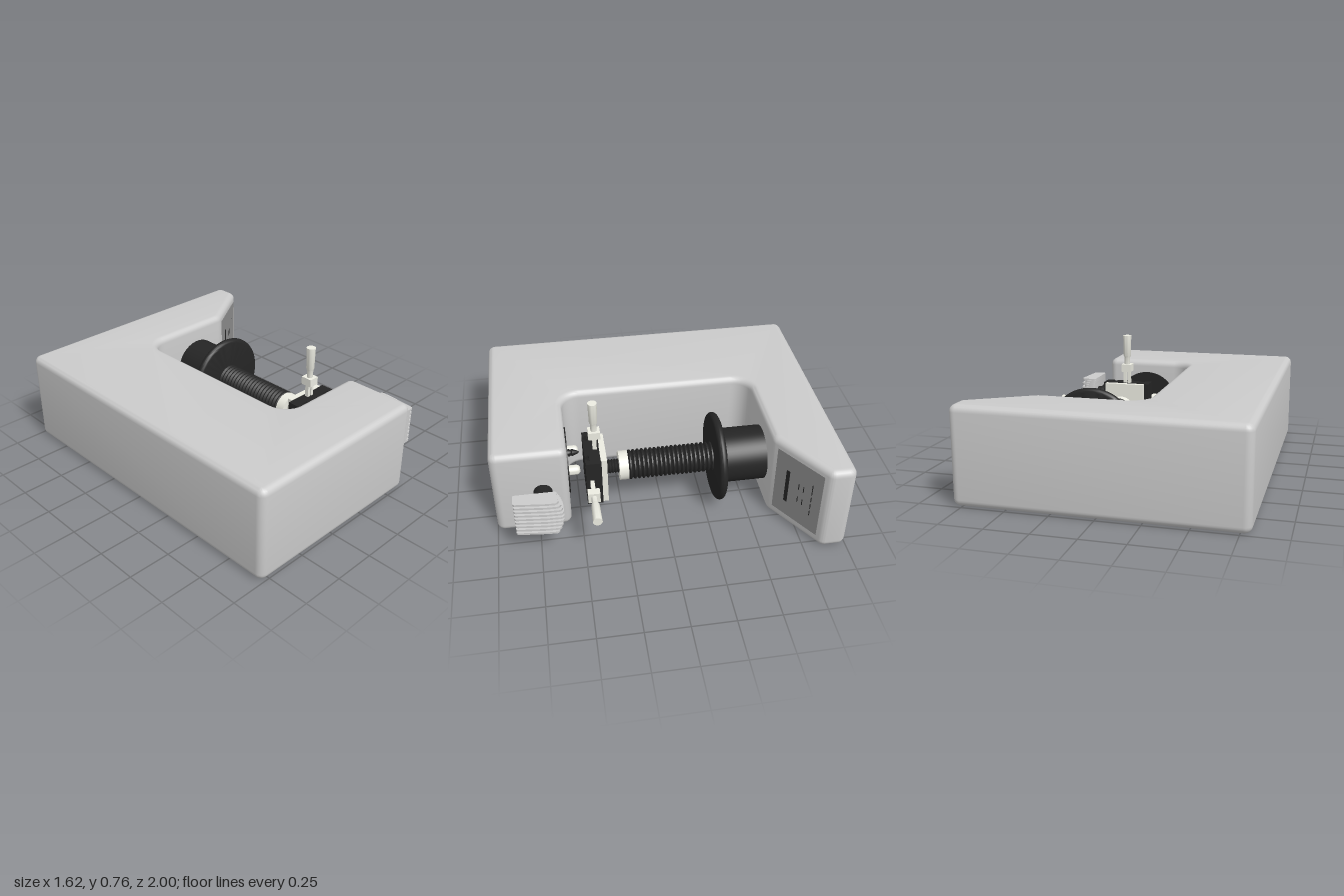
import * as THREE from 'three';
import { toCreasedNormals } from 'three/addons/utils/BufferGeometryUtils.js';

const mat = (color) => new THREE.MeshStandardMaterial({ color });
const GREY = mat(0xcccccc), BLACK = mat(0x252525), STEEL = mat(0xecece2), PANEL = mat(0x909090);

function add(parent, name, geometry, material, x = 0, y = 0, z = 0) {
  const mesh = new THREE.Mesh(geometry, material);
  mesh.name = name;
  mesh.position.set(x, y, z);
  parent.add(mesh);
  return mesh;
}

const box = (parent, name, material, [x0, x1], [y0, y1], [z0, z1]) =>
  add(parent, name, new THREE.BoxGeometry(x1 - x0, y1 - y0, z1 - z0), material,
    (x0 + x1) / 2, (y0 + y1) / 2, (z0 + z1) / 2);

// Turned part: profile of [radius, position along the axis]
function turned(parent, name, material, axis, profile, x, y, z, sides = 40) {
  let g = new THREE.LatheGeometry(profile.map(([r, h]) => new THREE.Vector2(r, h)), sides);
  if (axis === 'x') g.rotateZ(-Math.PI / 2);
  if (axis === 'z') g.rotateX(Math.PI / 2);
  return add(parent, name, toCreasedNormals(g, 0.6), material, x, y, z);
}

// Closed outline from [x, z, cornerRadius] points
function roundedOutline(points) {
  const shape = new THREE.Shape();
  const n = points.length;
  points.forEach(([x, y, r], i) => {
    const p = new THREE.Vector2(x, y);
    const toward = ([qx, qy]) => {
      const q = new THREE.Vector2(qx, qy);
      const d = q.clone().sub(p).normalize();
      return d;
    };
    const a = toward(points[(i + n - 1) % n]), b = toward(points[(i + 1) % n]);
    const cut = r / Math.tan(Math.acos(a.dot(b)) / 2);
    const s = p.clone().addScaledVector(a, cut), e = p.clone().addScaledVector(b, cut);
    const c = p.clone().addScaledVector(a.add(b).normalize(), r / Math.sin(Math.acos(
      toward(points[(i + n - 1) % n]).dot(toward(points[(i + 1) % n]))) / 2));
    const a0 = Math.atan2(s.y - c.y, s.x - c.x);
    let sweep = Math.atan2(e.y - c.y, e.x - c.x) - a0;
    sweep = Math.atan2(Math.sin(sweep), Math.cos(sweep));
    const steps = 8;
    for (let k = 0; k <= steps; k++) {
      const t = a0 + sweep * k / steps;
      const px = c.x + r * Math.cos(t), py = c.y + r * Math.sin(t);
      if (i === 0 && k === 0) shape.moveTo(px, py); else shape.lineTo(px, py);
    }
  });
  return shape;
}

// Plan outline (x, z) extruded from y0 up to y1
function plate(shape, y0, y1, bevel = 0, segments = 6) {
  const g = new THREE.ExtrudeGeometry(shape, {
    depth: y1 - y0 - 2 * bevel, bevelEnabled: bevel > 0, bevelSize: bevel,
    bevelThickness: bevel, bevelOffset: -bevel, bevelSegments: segments, curveSegments: 10,
  });
  g.rotateX(Math.PI / 2).translate(0, y1 - bevel, 0);
  return toCreasedNormals(g, 0.6);
}

// Micrometer screw standing along +y from its base
function micrometer(name) {
  const g = new THREE.Group();
  g.name = name;
  for (const s of [-1, 1]) box(g, 'guideRod', STEEL, [s * 0.014 - 0.009, s * 0.014 + 0.009], [0, 0.1], [-0.012, 0.012]);
  box(g, 'bracket', STEEL, [-0.032, 0.032], [0.08, 0.128], [-0.035, 0.035]);
  turned(g, 'thimble', STEEL, 'y',
    [[0, 0.12], [0.018, 0.12], [0.019, 0.175], [0.024, 0.185], [0.027, 0.32], [0, 0.32]], 0, 0, 0, 24);
  return g;
}

export function createModel() {
  const model = new THREE.Group();
  const X = 0.225, Y = 0.285;

  // C-shaped housing
  add(model, 'housing', plate(roundedOutline([
    [-0.81, -1, 0.045], [0.805, -1, 0.045], [0.805, -0.852, 0.05], [0.44, -0.62, 0.08],
    [-0.17, -0.62, 0.11], [-0.17, 0.56, 0.11], [0.39, 0.56, 0.045], [0.39, 1, 0.045], [-0.81, 1, 0.045],
  ]), 0.003, 0.565, 0.04), GREY);

  // Slanted panel with slot and markings
  const panel = new THREE.Group();
  panel.name = 'controlPanel';
  panel.position.set(0.622, 0.29, -0.736);
  panel.rotation.y = Math.atan2(0.232, 0.365);
  model.add(panel);
  box(panel, 'panelPlate', PANEL, [-0.17, 0.17], [-0.22, 0.22], [-0.01, 0.004]);
  box(panel, 'panelSlot', BLACK, [-0.09, -0.065], [-0.12, 0.11], [0, 0.006]);
  for (const x of [0.005, 0.04])
    for (const y of [-0.05, 0.045]) box(panel, 'panelMark', BLACK, [x, x + 0.005], [y - 0.02, y + 0.02], [0, 0.006]);
  for (const y of [-0.09, -0.04, 0.01, 0.06, 0.1]) box(panel, 'panelMark', BLACK, [0.1, 0.105], [y - 0.018, y + 0.018], [0, 0.006]);

  // Barrel, flange and ribbed sleeve
  turned(model, 'barrel', BLACK, 'z', [[0, -0.64], [0.165, -0.64], [0.165, -0.34], [0, -0.34]], X, Y, 0, 56);
  const flange = [[0, -0.362]];
  for (let i = 0; i <= 10; i++) {
    const t = -Math.PI / 2 + Math.PI * i / 10;
    flange.push([0.242 + 0.025 * Math.cos(t), -0.337 + 0.025 * Math.sin(t)]);
  }
  turned(model, 'flange', BLACK, 'z', [...flange, [0, -0.312]], X, Y, 0, 64);
  const ribs = [[0, -0.32]];
  const count = 20, pitch = 0.52 / count;
  for (let i = 0; i < count; i++) {
    const z = -0.32 + i * pitch;
    ribs.push([0.077, z], [0.09, z + pitch * 0.35], [0.09, z + pitch * 0.65], [0.077, z + pitch]);
  }
  turned(model, 'ribbedSleeve', BLACK, 'z', [...ribs, [0, 0.2]], X, Y, 0);
  turned(model, 'collar', STEEL, 'z', [[0, 0.2], [0.088, 0.2], [0.088, 0.255], [0, 0.255]], X, Y, 0);
  const thread = [[0, 0.25]];
  for (let i = 0; i < 5; i++) thread.push([0.036, 0.25 + i * 0.017], [0.043, 0.2585 + i * 0.017]);
  turned(model, 'threadedNeck', BLACK, 'z', [...thread, [0.036, 0.335], [0, 0.335]], X, Y, 0);

  // Specimen stage: back plate and block with two T-slots
  box(model, 'stagePlate', STEEL, [0.1, 0.355], [0.13, 0.44], [0.332, 0.368]);
  const block = new THREE.Shape();
  block.moveTo(0.07, 0.366);
  block.lineTo(0.375, 0.366);
  block.lineTo(0.375, 0.458);
  for (const c of [0.315, 0.13]) {
    for (const [dx, z] of [[0.01, 0.458], [0.01, 0.445], [0.022, 0.445], [0.022, 0.433],
      [-0.022, 0.433], [-0.022, 0.445], [-0.01, 0.445], [-0.01, 0.458]]) block.lineTo(c + dx, z);
  }
  block.lineTo(0.07, 0.458);
  add(model, 'stageBlock', plate(block, 0.138, 0.44), BLACK);

  // Two stage micrometers
  const vertical = micrometer('verticalMicrometer');
  vertical.position.set(0.22, 0.438, 0.392);
  const horizontal = micrometer('horizontalMicrometer');
  horizontal.position.set(0.375, 0.295, 0.425);
  horizontal.rotation.z = -Math.PI / 2;
  model.add(vertical, horizontal);

  // Turret disc with pins on the front arm's inner face
  turned(model, 'turretDisc', BLACK, 'z', [[0, 0.552], [0.2, 0.552], [0.2, 0.566], [0, 0.566]], 0.125, Y, 0, 56);
  for (const [x, y] of [[0.07, 0.31], [X, 0.285]])
    turned(model, 'turretPin', STEEL, 'z',
      [[0, 0.484], [0.016, 0.486], [0.026, 0.494], [0.03, 0.506], [0.03, 0.56], [0, 0.56]], x, y, 0, 24);
  turned(model, 'turretPoint', BLACK, 'z',
    [[0, 0.482], [0.008, 0.49], [0.022, 0.525], [0.017, 0.53], [0.022, 0.542], [0.022, 0.56], [0, 0.56]], 0.165, 0.37, 0, 20);

  // Side knob on a collared shaft
  turned(model, 'knobShaft', BLACK, 'x', [[0, 0.38], [0.055, 0.38], [0.055, 0.472], [0.063, 0.474],
    [0.063, 0.494], [0.051, 0.496], [0.051, 0.54], [0, 0.54]], 0, 0.283, 0.713);
  const knob = new THREE.Group();
  knob.name = 'knob';
  model.add(knob);
  const slabs = 17, step = 0.23 / slabs;
  for (let i = 0; i < slabs; i++) {
    const y = 0.17 + i * step;
    const v = (y + step / 2 - 0.285) / 0.115;
    const near = 0.604 + 0.035 * v * v;          // curved end
    const drop = i % 2 ? 0.018 : 0;              // alternate ridges and grooves
    add(knob, drop ? 'knobGroove' : 'knobRidge', plate(roundedOutline([
      [0.527, near, 0.012], [0.624 - drop, near, 0.018], [0.622 - drop, 0.70, 0.01],
      [0.603 - drop, 0.88, 0.014], [0.527, 0.88, 0.01],
    ]), y, y + step), GREY);
  }
  return model;
}
